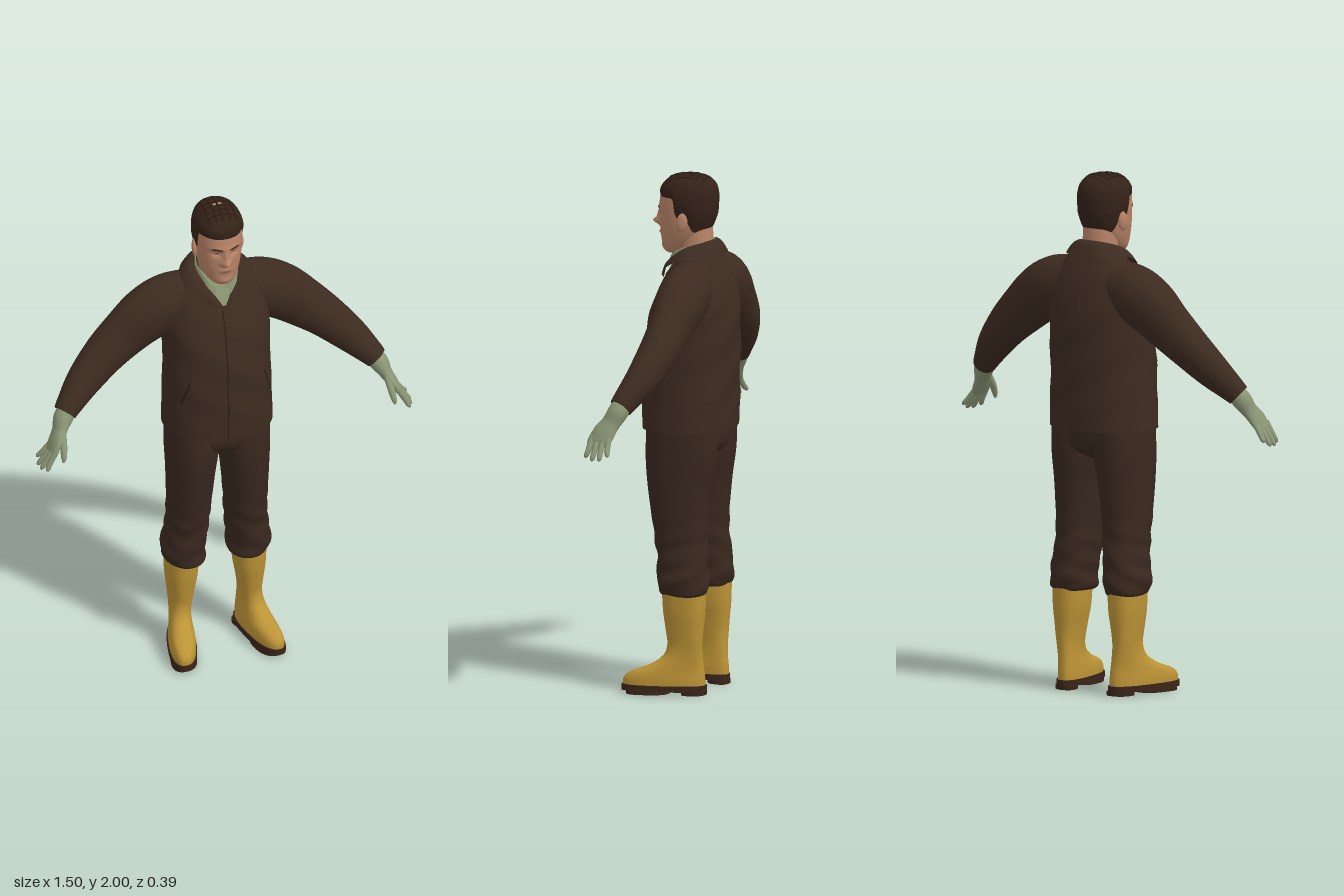
import * as THREE from 'three';

const mat = (name, color) => new THREE.MeshStandardMaterial({ name, color, side: THREE.DoubleSide });
const M = {
  jacket: mat('jacket brown', 0x3d2b20), trousers: mat('trouser brown', 0x39281e),
  seam: mat('seam brown', 0x291b13), hair: mat('hair brown', 0x342218),
  skin: mat('skin', 0xb98468), lips: mat('lip and eye shade', 0x8c5a48),
  shirt: mat('shirt green', 0x86926e), glove: mat('glove green', 0x8a9575),
  boot: mat('boot yellow', 0xbc9336), sole: mat('sole brown', 0x3a251a),
};
const V = (x, y, z) => new THREE.Vector3(x, y, z);
const lerp = THREE.MathUtils.lerp, smooth = THREE.MathUtils.smoothstep;

// Surface over u (around) and v (along), with optional flat end caps
function grid(nu, nv, fn, closed = false, cap = false) {
  const pos = [], idx = [], cols = closed ? nu : nu + 1;
  for (let j = 0; j <= nv; j++)
    for (let i = 0; i < cols; i++) pos.push(...fn(i / nu, j / nv).toArray());
  for (let j = 0; j < nv; j++)
    for (let i = 0; i < nu; i++) {
      const k = (i + 1) % cols, a = j * cols + i, b = j * cols + k;
      idx.push(a, a + cols, b, b, a + cols, b + cols);
    }
  if (cap) for (const v of [0, 1]) {
    const start = pos.length / 3, mid = V(0, 0, 0);
    for (let i = 0; i < cols; i++) {
      const p = fn(i / nu, v);
      mid.addScaledVector(p, 1 / cols);
      pos.push(...p.toArray());
    }
    pos.push(...mid.toArray());
    for (let i = 0; i < cols; i++) {
      const a = start + i, b = start + (i + 1) % cols;
      idx.push(...(v ? [a, start + cols, b] : [a, b, start + cols]));
    }
  }
  const g = new THREE.BufferGeometry();
  g.setAttribute('position', new THREE.Float32BufferAttribute(pos, 3));
  g.setIndex(idx);
  g.computeVertexNormals();
  return g;
}

// Smooth interpolation through rows of numbers
function sample(rows, t) {
  const f = t * (rows.length - 1), i = Math.min(Math.floor(f), rows.length - 2), w = f - i;
  const r = k => rows[Math.max(0, Math.min(rows.length - 1, k))];
  return rows[0].map((_, n) => {
    const [a, b, c, d] = [r(i - 1)[n], r(i)[n], r(i + 1)[n], r(i + 2)[n]];
    return b + 0.5 * w * (c - a + w * (2 * a - 5 * b + 4 * c - d + w * (3 * (b - c) + d - a)));
  });
}
function rowAt(rows, y) {
  let lo = 0, hi = 1;
  for (let k = 0; k < 30; k++) {
    const m = (lo + hi) / 2;
    if (sample(rows, m)[0] < y) lo = m; else hi = m;
  }
  return sample(rows, lo);
}

// Horizontal section row: [y, centre x, half width, front z, back z]
function ringPoint([y, cx, rx, zf, zb], a, p, off = 0) {
  const pw = c => Math.sign(c) * Math.abs(c) ** (2 / p);
  return V(cx + (rx + off) * pw(Math.cos(a)), y, (zf + zb) / 2 + ((zf - zb) / 2 + off) * pw(Math.sin(a)));
}
const loft = (rows, { p = 2.2, seg = 40, per = 5, cap = true, move = q => q } = {}) =>
  grid(seg, (rows.length - 1) * per, (u, v) => move(ringPoint(sample(rows, v), u * Math.PI * 2, p)), true, cap);

// Thin front panel lying on a loft; fn gives [x, y]
const patch = (rows, p, fn, off, move = q => q, nu = 10, nv = 16) => grid(nu, nv, (s, t) => {
  const [x, y] = fn(1 - s, t), r = rowAt(rows, y), k = Math.min(1, Math.abs(x / (r[2] + off)));
  const q = move(ringPoint(r, Math.acos(Math.sign(x) * k ** (p / 2)), p, off));
  return q;
});

// Limb along a path: rows [x, y, z, thickness radius, depth radius]
function limb(rows, seg = 24, per = 6) {
  return grid(seg, (rows.length - 1) * per, (u, v) => {
    const r = sample(rows, v), c = t => V(...sample(rows, t).slice(0, 3));
    const d = c(Math.min(1, v + 0.01)).sub(c(Math.max(0, v - 0.01))).normalize();
    const b = V(0, 0, 1).addScaledVector(d, -d.z).normalize(), n = b.clone().cross(d);
    const a = -u * Math.PI * 2;
    return c(v).addScaledVector(n, Math.cos(a) * r[3]).addScaledVector(b, Math.sin(a) * r[4]);
  }, true, true);
}

// Collar band between two half edges, mirrored around the neck
function band(inner, outer) {
  const curve = h => new THREE.CatmullRomCurve3(
    [...h, ...h.slice(0, -1).reverse().map(([x, y, z]) => [-x, y, z])].map(q => V(...q)));
  const a = curve(inner), b = curve(outer);
  return grid(48, 6, (u, v) => {
    const q = b.getPoint(1 - u).lerp(a.getPoint(1 - u), v);
    q.y += 0.012 * Math.sin(v * Math.PI);
    return q;
  });
}

const TORSO = [
  [1.02, 0, .213, .163, -.183], [1.1, 0, .211, .164, -.186], [1.2, 0, .208, .163, -.187],
  [1.3, 0, .206, .158, -.19], [1.4, 0, .206, .146, -.191], [1.48, 0, .208, .127, -.187],
  [1.55, 0, .2, .1, -.175], [1.61, 0, .178, .07, -.158], [1.66, 0, .142, .037, -.136],
  [1.7, 0, .105, .005, -.118], [1.73, 0, .075, -.02, -.105]];
const HEAD = [
  [1.685, 0, .02, .08, .03], [1.697, 0, .044, .093, .005], [1.72, 0, .062, .1, -.03],
  [1.76, 0, .077, .106, -.075], [1.8, 0, .085, .109, -.096], [1.84, 0, .088, .11, -.106],
  [1.88, 0, .089, .111, -.11], [1.92, 0, .087, .104, -.11], [1.955, 0, .074, .086, -.1],
  [1.98, 0, .048, .05, -.07], [1.992, 0, .004, -.004, -.012]];
const LEG = [
  [.383, .125, .068, .052, -.115], [.398, .128, .08, .064, -.125], [.45, .13, .083, .07, -.13],
  [.55, .118, .08, .078, -.122], [.65, .113, .082, .095, -.118], [.8, .108, .09, .118, -.132],
  [.92, .102, .1, .128, -.15], [1.04, .1, .1, .125, -.155]];
const BOOT = [
  [.03, .137, .052, .192, -.115], [.06, .137, .052, .19, -.115], [.085, .137, .049, .165, -.113],
  [.11, .138, .045, .1, -.11], [.145, .139, .042, .045, -.108], [.19, .139, .043, .028, -.108],
  [.25, .138, .05, .035, -.112], [.32, .136, .06, .045, -.118], [.4, .135, .064, .05, -.12]];

// Face relief: [x, y, height, spread x, spread y]
const FACE = [[0, 1.803, .031, .015, .014], [0, 1.832, .016, .011, .024], [0, 1.765, .007, .024, .011],
  [0, 1.712, .007, .025, .014]];
for (const s of [-1, 1]) FACE.push([s * .034, 1.841, -.011, .018, .011], [s * .03, 1.866, .004, .03, .009],
  [s * .015, 1.8, .007, .008, .008]);
function sculpt(q) {
  if (q.z > 0) for (const [x, y, h, sx, sy] of FACE)
    q.z += h * Math.exp(-(((q.x - x) / sx) ** 2) - ((q.y - y) / sy) ** 2);
  return q;
}

export function createModel() {
  const root = new THREE.Group();
  const add = (name, geo, material, parent = root) => {
    const m = new THREE.Mesh(geo, material);
    m.name = name;
    parent.add(m);
    return m;
  };

  // Jacket with soft folds, front closing, shirt opening and collars
  const fold = q => {
    q.z += .003 * Math.sin(q.y * 34 + q.x * 22) * smooth(q.y, 1.04, 1.15) * (1 - smooth(q.y, 1.45, 1.6));
    return q;
  };
  add('jacketBody', loft(TORSO, { p: 2.3, seg: 56, move: fold }), M.jacket);
  add('jacketClosing', patch(TORSO, 2.3, (s, t) => [-.012 + s * .005, lerp(1.025, 1.575, t)], .004, fold, 2, 40), M.seam);
  for (const s of [-1, 1])
    add('pocketSlit', patch(TORSO, 2.3, (u, t) => [s * (lerp(.175, .145, t) + u * .005), lerp(1.18, 1.29, t)], .004, fold, 2), M.seam);
  add('shirtFront', patch(TORSO, 2.3, (s, t) => [(s * 2 - 1) * (.006 + .062 * t), lerp(1.59, 1.685, t)], .007), M.shirt);
  add('jacketCollar', band(
    [[.01, 1.583, .098], [.055, 1.66, .058], [.085, 1.72, -.02], [.062, 1.742, -.085], [0, 1.748, -.108]],
    [[.03, 1.588, .1], [.115, 1.642, .052], [.143, 1.685, -.03], [.09, 1.69, -.125], [0, 1.69, -.147]]), M.jacket);
  add('shirtCollar', band(
    [[.01, 1.652, .055], [.045, 1.69, .038], [.074, 1.725, -.03], [.05, 1.742, -.085], [0, 1.746, -.102]],
    [[.032, 1.63, .07], [.06, 1.668, .052], [.084, 1.7, -.03], [.055, 1.712, -.1], [0, 1.712, -.118]]), M.shirt);

  // Neck, head and face
  add('neck', loft([[1.6, 0, .068, .028, -.105], [1.7, 0, .067, .03, -.1], [1.8, 0, .068, .045, -.094]]), M.skin);
  add('head', loft(HEAD, { seg: 96, per: 7, p: 2.15, move: sculpt }), M.skin);
  const onFace = (name, fn, material) => add(name, patch(HEAD, 2.15, fn, .0025, sculpt, 10, 4), material);
  onFace('mouth', (s, t) => [(s - .5) * .048, 1.763 + (t - .5) * .007 * Math.sin(s * Math.PI)], M.lips);
  for (const d of [-1, 1]) {
    onFace('eye', (s, t) => [d * .034 + (s - .5) * .024, 1.841 + (t - .5) * .008 * Math.sin(s * Math.PI)], M.lips);
    onFace('eyebrow', (s, t) => [d * (.015 + s * .04), 1.86 + .006 * Math.sin(s * 2.6) + (t - .5) * .007], M.hair);
    const ear = add('ear', new THREE.SphereGeometry(1, 16, 12), M.skin);
    ear.scale.set(.011, .038, .022);
    ear.position.set(d * .09, 1.818, -.008);
    ear.rotation.set(-.15, d * .3, 0);
  }

  // Hair cap whose lower edge drops behind the ears, with crossed locks on the crown
  add('hair', grid(72, 24, (u, v) => {
    const a = u * Math.PI * 2, s = Math.sin(a);
    const edge = 1.778 + .055 * smooth(s, -.6, -.1) + .075 * smooth(s, .12, .3);
    const y = lerp(edge, 1.991, Math.sin(v * Math.PI / 2));
    const q = ringPoint(rowAt(HEAD, y), a, 2.15, .009 * Math.min(1, v * 5));
    q.y += .006 * v;
    return q;
  }, true), M.hair);
  const crownY = (x, z) => {
    for (let y = 1.991; y > 1.8; y -= .002) {
      const [, , rx, zf, zb] = rowAt(HEAD, y);
      if ((x / (rx + .008)) ** 2 + ((z - (zf + zb) / 2) / ((zf - zb) / 2 + .008)) ** 2 < 1) return y + .005;
    }
    return 1.8;
  };
  const lock = fn => add('hairLock', new THREE.TubeGeometry(
    new THREE.CatmullRomCurve3(Array.from({ length: 9 }, (_, i) => fn(i / 4 - 1))), 20, .0035, 5), M.seam);
  for (let i = -2; i <= 2; i++) lock(k => V(i * .026, crownY(i * .026, k * .075), k * .075));
  for (let i = -3; i <= 2; i++) lock(k => V(k * .062, crownY(k * .062, i * .026), i * .026));

  // Trouser seat
  add('trouserSeat', loft([[.9, 0, .04, .03, -.07], [.93, 0, .11, .1, -.13], [.97, 0, .18, .125, -.152],
    [1.05, 0, .2, .125, -.155]], { p: 2.4 }), M.trousers);

  // Paired limbs, built for +x and mirrored
  for (const side of [1, -1]) {
    const g = new THREE.Group();
    g.name = side > 0 ? 'leftLimbs' : 'rightLimbs';
    g.scale.x = side;
    root.add(g);

    add('sleeve', limb([[.08, 1.575, -.055, .1, .085], [.18, 1.555, -.058, .113, .096], [.265, 1.513, -.058, .112, .092],
      [.35, 1.447, -.056, .1, .078], [.44, 1.372, -.044, .085, .073], [.53, 1.288, -.015, .07, .062],
      [.595, 1.222, .02, .053, .05], [.622, 1.192, .036, .045, .045]], 32), M.jacket, g);

    // Glove: cuff and palm, four fingers, thumb
    add('glovePalm', limb([[.605, 1.21, .028, .036, .038], [.632, 1.173, .044, .037, .04], [.652, 1.135, .064, .026, .038],
      [.674, 1.1, .084, .021, .046], [.695, 1.066, .092, .014, .042]]), M.glove, g);
    [[.733, 1.018, .048], [.739, 1.002, .078], [.735, 1.0, .108], [.722, 1.008, .138]].forEach(([x, y, z], i) => {
      const bz = .06 + i * .022;
      add('gloveFinger', limb([[.682, 1.088, bz, .011, .012], [lerp(.69, x, .5) + .005, lerp(1.07, y, .5), lerp(bz, z, .5), .011, .011],
        [x, y + .008, z, .009, .009], [x + .001, y, z, .003, .003]], 10, 4), M.glove, g);
    });
    add('gloveThumb', limb([[.648, 1.14, .085, .014, .016], [.654, 1.1, .122, .014, .014], [.66, 1.062, .145, .011, .011],
      [.663, 1.042, .15, .004, .004]], 12, 4), M.glove, g);

    // Trouser leg with creases gathering above the boot
    add('trouserLeg', loft(LEG, { per: 7, move: q => {
      const w = .004 * (1 - smooth(q.y, .5, .75));
      q.x += w * Math.sin(q.y * 75 + q.z * 25);
      q.z += w * Math.sin(q.y * 60 + q.x * 30);
      return q;
    } }), M.trousers, g);

    // Boot turned outwards, with tread under the ball and the heel
    const splay = q => { q.x += .2 * (q.z + .05) * (1 - smooth(q.y, .1, .22)); return q; };
    const slab = (y0, y1, rx, zf, zb) => loft([[y0, .137, rx, zf, zb], [y1, .137, rx, zf, zb]], { p: 2.5, per: 1, move: splay });
    add('boot', loft(BOOT, { p: 2.4, per: 6, move: splay }), M.boot, g);
    add('bootSole', slab(.014, .037, .056, .198, -.12), M.sole, g);
    add('bootBallTread', slab(0, .016, .052, .18, .02), M.sole, g);
    add('bootHeel', slab(0, .016, .045, -.03, -.119), M.sole, g);
  }
  return root;
}
